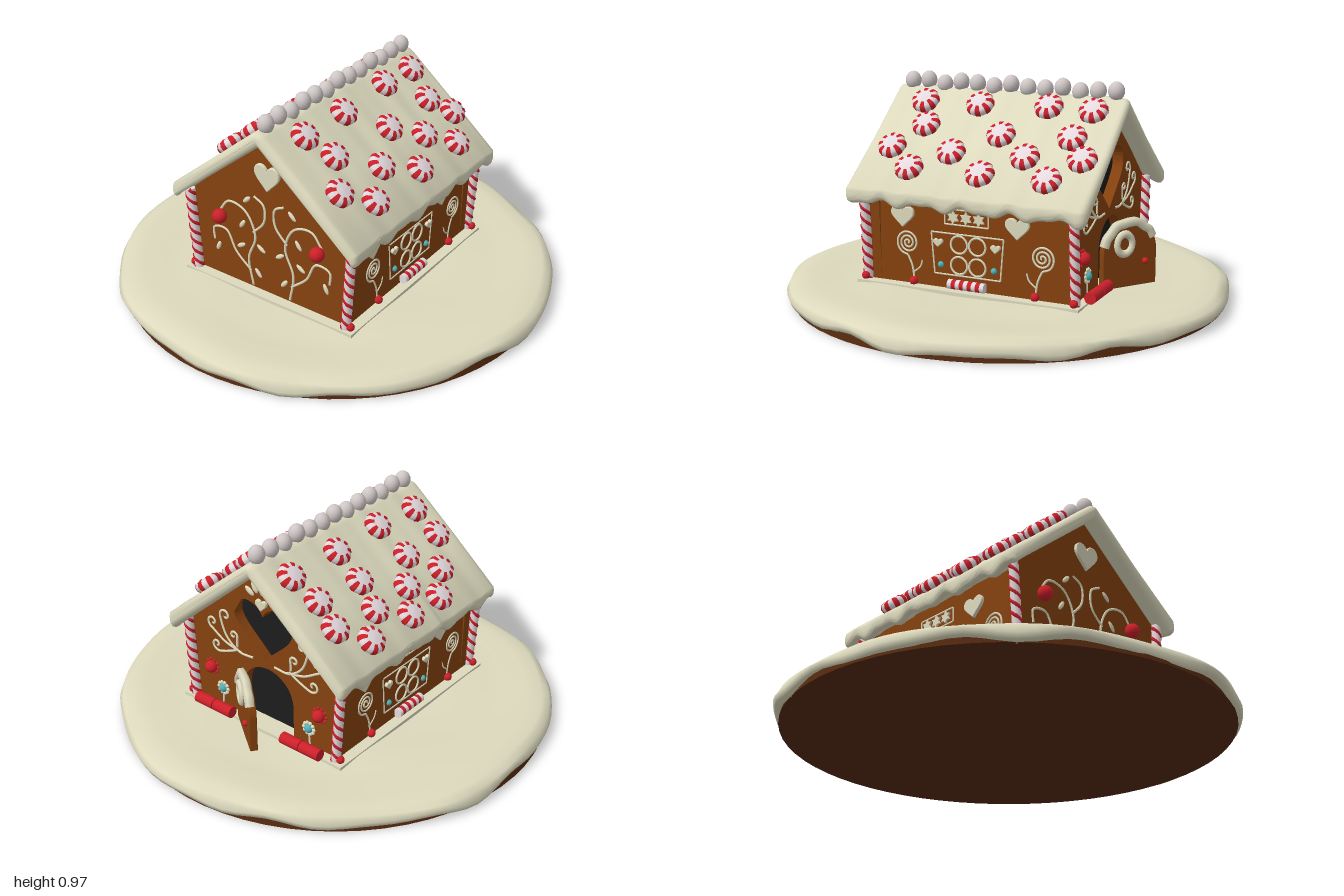
import * as THREE from 'three';
import { mergeGeometries, mergeVertices, toCreasedNormals } from 'three/addons/utils/BufferGeometryUtils.js';

const mat = (color) => new THREE.MeshStandardMaterial({ color, roughness: 0.8 });
const V = (x, y, z = 0) => new THREE.Vector3(x, y, z);
const { sin, cos, abs, PI } = Math;

export function createModel() {
  const root = new THREE.Group();
  const icing = mat(0xdcd9bd), ginger = mat(0x85410f), crust = mat(0x55290f), dark = mat(0x1c1c1c);
  const red = mat(0xcc2029), white = mat(0xe4dadd), pearl = mat(0xcfc7c6), blue = mat(0x4fb3ba);

  const add = (parent, name, geo, material, x = 0, y = 0, z = 0) => {
    const m = new THREE.Mesh(geo, material);
    m.name = name;
    m.position.set(x, y, z);
    parent.add(m);
    return m;
  };
  const group = (parent, name, x = 0, y = 0, z = 0) => {
    const g = new THREE.Group();
    g.name = name;
    g.position.set(x, y, z);
    parent.add(g);
    return g;
  };
  const weld = (geo) => {
    geo.deleteAttribute('uv');
    geo.deleteAttribute('normal');
    return mergeVertices(geo, 1e-4);
  };
  const bend = (geo, rule) => {
    const p = geo.attributes.position, v = V(0, 0);
    for (let i = 0; i < p.count; i++) {
      v.fromBufferAttribute(p, i);
      rule(v);
      p.setXYZ(i, v.x, v.y, v.z);
    }
    return geo;
  };
  const lathe = (pts, n, start, len) => new THREE.LatheGeometry(pts.map((p) => new THREE.Vector2(...p)), n, start, len);
  const extrude = (shape, depth, bevel = 0, steps = 1) => new THREE.ExtrudeGeometry(shape,
    { depth, steps, curveSegments: 14, bevelEnabled: bevel > 0, bevelSize: bevel, bevelThickness: bevel, bevelOffset: -bevel, bevelSegments: 3 });
  const pipe = (parent, name, pts, r = 0.006, material = icing, closed = false) => add(parent, name,
    new THREE.TubeGeometry(new THREE.CatmullRomCurve3(pts, closed), pts.length * 5, r, 6, closed), material);
  const ball = (parent, name, r, material, x, y, z = 0) => add(parent, name, new THREE.SphereGeometry(r, 14, 10), material, x, y, z);

  const heartPath = (Type, x, y, w, h) => {
    const s = new Type();
    s.moveTo(x, y - h / 2);
    s.bezierCurveTo(x + w * 0.25, y - h * 0.2, x + w * 0.5, y, x + w * 0.5, y + h * 0.2);
    s.bezierCurveTo(x + w * 0.5, y + h * 0.58, x + w * 0.1, y + h * 0.6, x, y + h * 0.3);
    s.bezierCurveTo(x - w * 0.1, y + h * 0.6, x - w * 0.5, y + h * 0.58, x - w * 0.5, y + h * 0.2);
    s.bezierCurveTo(x - w * 0.5, y, x - w * 0.25, y - h * 0.2, x, y - h / 2);
    return s;
  };
  const heart = (parent, x, y, w, h) => add(parent, 'icingHeart', extrude(heartPath(THREE.Shape, x, y, w, h), 0.01, 0.004), icing);
  const spiral = (x, y, r, turns, start = 0, dir = 1) => Array.from({ length: turns * 9 + 1 }, (_, i) => {
    const k = 1 - i / (turns * 9 + 1), a = start + dir * i * PI * 2 / 9;
    return V(x + r * k * cos(a), y + r * k * sin(a));
  });

  // Iced round board
  add(root, 'board', new THREE.CylinderGeometry(0.955, 0.965, 0.05, 64), crust, 0, 0.025, 0);
  const snow = lathe([[0.94, 0.03], [0.965, 0.015], [0.99, 0.02], [1, 0.045], [0.985, 0.072], [0.95, 0.088], [0.88, 0.094],
    [0.78, 0.088], [0.7, 0.087], [0.62, 0.092], [0.5, 0.089], [0, 0.09]], 96);
  add(root, 'boardIcing', (() => {
    const g = weld(bend(snow, (v) => {
      const a = Math.atan2(v.z, v.x), r = Math.hypot(v.x, v.z), k = 0.984 + 0.009 * sin(5 * a + 1) + 0.007 * sin(9 * a);
      v.x *= k; v.z *= k;
      if (r > 0.93 && v.y < 0.05) v.y += 0.01 * sin(11 * a) + 0.006 * sin(17 * a + 2);
      else if (r > 0.4) v.y += 0.004 * sin(4 * a + r * 9);
    }));
    g.computeVertexNormals();
    return g;
  })(), icing);
  add(root, 'houseFooting', new THREE.BoxGeometry(1.04, 0.016, 0.9), icing, 0, 0.093, 0);

  // Walls: each face group looks outward along its own +z
  const house = group(root, 'house');
  const face = (name, turn, out) => {
    const g = group(house, name, sin(turn) * out, 0, cos(turn) * out);
    g.rotation.y = turn;
    return g;
  };
  const front = face('frontWall', 0, 0.4), back = face('backWall', PI, 0.4);
  const doorEnd = face('doorGable', PI / 2, 0.475), vineEnd = face('vineGable', -PI / 2, 0.475);
  const gable = () => {
    const s = new THREE.Shape();
    s.moveTo(-0.4, 0.08);
    for (const [x, y] of [[0.4, 0.08], [0.41, 0.5], [0, 0.86], [-0.41, 0.5]]) s.lineTo(x, y);
    return s;
  };
  const pierced = gable(), doorway = new THREE.Path();
  doorway.moveTo(-0.12, 0.095);
  doorway.lineTo(0.16, 0.095);
  doorway.lineTo(0.16, 0.25);
  doorway.absellipse(0.02, 0.25, 0.14, 0.135, 0, PI, false);
  pierced.holes.push(heartPath(THREE.Path, 0, 0.55, 0.32, 0.26), doorway);
  add(doorEnd, 'gablePanel', extrude(pierced, 0.05), ginger, 0, 0, -0.05);
  add(doorEnd, 'darkInterior', new THREE.ShapeGeometry(gable()), dark, 0, 0, -0.049);
  add(vineEnd, 'gablePanel', extrude(gable(), 0.05), ginger, 0, 0, -0.05);

  // Long walls and their piped decoration
  for (const wall of [front, back]) {
    add(wall, 'wallPanel', new THREE.BoxGeometry(0.95, 0.42, 0.05), ginger, 0, 0.29, -0.025);
    for (const s of [-1, 1]) {
      heart(wall, s * 0.27 - 0.04, 0.392, 0.11, 0.09);
      const lx = s * 0.315 + 0.025;
      pipe(wall, 'lollipopSwirl', spiral(lx, 0.28, 0.055, 3, -PI / 2, s), 0.005);
      pipe(wall, 'lollipopStick', [V(lx, 0.225), V(lx - 0.02 * s, 0.18), V(lx - 0.03 * s, 0.12)], 0.005);
      pipe(wall, 'lollipopLeaf', [V(lx - 0.025 * s, 0.15), V(lx - 0.06 * s, 0.18), V(lx - 0.07 * s, 0.21)], 0.004);
      ball(wall, 'redBerry', 0.019, red, lx - 0.03 * s, 0.115, 0.008);
      ball(wall, 'blueDot', 0.014, blue, s * 0.125 - 0.005, 0.2);
      heart(wall, s * 0.135 - 0.005, 0.295, 0.045, 0.035);
      for (const t of [-1, 1]) {
        const pane = add(wall, 'windowPane', new THREE.TorusGeometry(0.038, 0.005, 6, 20), icing, s * 0.043, 0.25 + t * 0.045, 0.002);
        pane.scale.x = 1.02;
      }
    }
    const outline = (name, pts) => pts.forEach((p, i) => pipe(wall, name, [V(...p), V(...pts[(i + 1) % pts.length])], 0.004));
    outline('windowFrame', [[-0.175, 0.34], [0.165, 0.34], [0.15, 0.16], [-0.16, 0.16]]);
    outline('starFrame', [[-0.11, 0.445], [0.095, 0.445], [0.095, 0.38], [-0.11, 0.38]]);
    for (const x of [-0.068, -0.008, 0.052]) {
      const star = new THREE.Shape(Array.from({ length: 12 }, (_, i) => {
        const r = i % 2 ? 0.016 : 0.029;
        return new THREE.Vector2(x + r * sin(i * PI / 6), 0.412 + r * cos(i * PI / 6));
      }));
      add(wall, 'icingStar', extrude(star, 0.009), icing);
    }
    for (let i = 0; i < 9; i++) {
      const band = add(wall, 'windowCandy', new THREE.CylinderGeometry(0.021, 0.021, 0.019, 14), i % 2 ? red : white, -0.076 + i * 0.019, 0.125, 0.016);
      band.rotation.z = PI / 2;
    }
  }

  // Door gable decoration
  heart(doorEnd, 0, 0.685, 0.06, 0.05);
  for (let i = -2; i <= 2; i++) {
    const petal = ball(doorEnd, 'icingPetal', 0.034, icing, sin(i * 0.5) * 0.08, 0.69 + cos(i * 0.5) * 0.075);
    petal.scale.set(0.4, i ? 0.8 : 1.1, 0.25);
    petal.rotation.z = -i * 0.5;
  }
  for (const s of [-1, 1]) {
    const at = (pts) => pts.map(([x, y]) => V(s * x, y));
    const curl = (x, y, r, start, dir) => spiral(x, y, r, 1, start, dir).map((p) => V(s * p.x, p.y));
    pipe(doorEnd, 'icingScroll', [...at([[0.06, 0.41], [0.14, 0.41], [0.21, 0.46], [0.24, 0.53]]), ...curl(0.215, 0.56, 0.03, 0, 1)]);
    pipe(doorEnd, 'icingScroll', [...at([[0.13, 0.41], [0.22, 0.43], [0.29, 0.47]]), ...curl(0.29, 0.505, 0.03, -1, 1)]);
    pipe(doorEnd, 'icingScroll', [...at([[0.14, 0.42], [0.2, 0.39], [0.26, 0.37]]), ...curl(0.27, 0.4, 0.028, -1.5, 1)]);
    pipe(doorEnd, 'icingScroll', [...at([[0.15, 0.43], [0.15, 0.46]]), ...curl(0.17, 0.48, 0.022, 3, -1)]);
    ball(doorEnd, 'redGumdrop', 0.028, red, s * 0.305, 0.275, 0.01);
    for (let i = 0; i < 10; i++) {
      const a = i * PI / 5;
      ball(doorEnd, 'gumdropSugar', 0.007, red, s * 0.305 + 0.033 * cos(a), 0.275 + 0.033 * sin(a));
      ball(doorEnd, 'flowerPetal', 0.009, icing, s * 0.245 + 0.027 * cos(a), 0.185 + 0.027 * sin(a));
    }
    ball(doorEnd, 'blueFlower', 0.021, blue, s * 0.245, 0.185);
    pipe(doorEnd, 'flowerStem', at([[0.245, 0.16], [0.25, 0.1]]), 0.005);
    for (const x of [0.195, 0.3]) {
      const roll = add(doorEnd, 'redCandyRoll', new THREE.CylinderGeometry(0.026, 0.026, 0.1, 18), red, s * x, 0.123, 0.055);
      roll.rotation.z = PI / 2;
    }
  }

  // Open door, hinged on its left edge
  const door = group(doorEnd, 'door', -0.12, 0, 0.005);
  door.rotation.y = -0.63;
  const leaf = new THREE.Shape();
  leaf.moveTo(0, 0.095);
  leaf.lineTo(0.27, 0.095);
  leaf.lineTo(0.27, 0.25);
  leaf.absellipse(0.135, 0.25, 0.135, 0.125, 0, PI, false);
  add(door, 'doorLeaf', extrude(leaf, 0.026, 0.004), ginger);
  pipe(door, 'doorIcing', Array.from({ length: 10 }, (_, i) => {
    const a = PI * (0.14 + i * 0.088);
    return V(0.135 + 0.128 * cos(a), 0.25 + 0.126 * sin(a) + 0.004 * sin(i * 2.4), 0.02);
  }), 0.021);
  const wreath = add(door, 'doorWreath', new THREE.TorusGeometry(0.038, 0.015, 10, 22), icing, 0.105, 0.285, 0.03);
  wreath.scale.y = 1.15;
  ball(door, 'doorKnob', 0.014, red, 0.21, 0.2, 0.034);

  // Vine gable decoration
  heart(vineEnd, 0, 0.67, 0.13, 0.12);
  for (const s of [-1, 1]) {
    const at = (pts) => pts.map(([x, y]) => V(s * x, y));
    pipe(vineEnd, 'vineStem', at([[0.1, 0.11], [0.12, 0.24], [0.08, 0.36], [0.13, 0.47], [0.22, 0.49], [0.27, 0.43]]));
    pipe(vineEnd, 'vineBranch', at([[0.11, 0.18], [0.19, 0.25], [0.24, 0.34], [0.31, 0.33], [0.31, 0.27]]));
    pipe(vineEnd, 'vineTip', at([[0.09, 0.38], [0.03, 0.45], [0.03, 0.53], [0.08, 0.56]]));
    ball(vineEnd, 'redGumdrop', 0.033, red, s * 0.26, 0.41, 0.02);
    for (const [x, y, t] of [[0.16, 0.29, 1], [0.05, 0.31, -1], [0.15, 0.4, 0.6], [0.29, 0.24, 0.4], [0.07, 0.18, -0.7], [0.12, 0.53, 0.8]]) {
      const l = ball(vineEnd, 'vineLeaf', 0.026, icing, s * x, y);
      l.scale.set(0.4, 1, 0.3);
      l.rotation.z = s * t;
    }
  }

  // Striped canes at the four corners
  for (const sx of [-1, 1]) for (const sz of [-1, 1]) {
    const cane = group(house, 'cornerCane', sx * 0.488, 0.09, sz * 0.4);
    cane.rotation.x = sz * 0.07;
    add(cane, 'caneCore', new THREE.CylinderGeometry(0.021, 0.021, 0.4, 12), white, 0, 0.2, 0);
    for (const phase of [0, PI]) {
      const helix = Array.from({ length: 41 }, (_, i) => {
        const a = i * 0.62 + phase;
        return V(0.016 * cos(a), i * 0.01, 0.016 * sin(a));
      });
      add(cane, 'caneStripe', new THREE.TubeGeometry(new THREE.CatmullRomCurve3(helix), 90, 0.009, 6), red);
    }
    ball(house, 'caneFoot', 0.018, red, sx * 0.49, 0.115, sz * 0.425);
  }

  // Roof icing: folded slab with a dripping rim
  const roof = new THREE.Shape();
  roof.moveTo(-0.445, 0.47);
  roof.lineTo(0, 0.84);
  roof.lineTo(0.445, 0.47);
  roof.bezierCurveTo(0.465, 0.435, 0.5, 0.46, 0.484, 0.515);
  roof.lineTo(0.25, 0.707);
  roof.lineTo(0.035, 0.885);
  roof.quadraticCurveTo(0, 0.915, -0.035, 0.885);
  roof.lineTo(-0.25, 0.707);
  roof.lineTo(-0.484, 0.515);
  roof.bezierCurveTo(-0.5, 0.46, -0.465, 0.435, -0.445, 0.47);
  const slab = extrude(roof, 1.06, 0.025, 60);
  slab.rotateY(PI / 2).translate(-0.525, 0, 0);
  bend(slab, (v) => {
    const wave = sin(v.x * 31 + Math.sign(v.z)) + 0.6 * sin(v.x * 53 + 2);
    if (abs(v.z) > 0.43 && v.y < 0.5) v.y += 0.011 * wave;
    else v.y += 0.003 * wave;
    if (abs(v.x) > 0.5) v.x += 0.006 * sin(v.z * 34);
  });
  add(house, 'roofIcing', toCreasedNormals(weld(slab), 0.9), icing);

  // Pearls along the ridge
  for (let i = 0; i < 13; i++) {
    const bead = ball(house, 'ridgePearl', 0.036, pearl, -0.48 + i * 0.0815, 0.922 + 0.008 * sin(i * 2.3), 0);
    bead.scale.y = 1.15;
  }

  // Peppermints on both slopes
  const mintCore = lathe([[0, -0.03], [0.045, -0.028], [0.06, -0.012], [0.062, 0.004], [0.054, 0.018], [0.036, 0.025], [0, 0.027]], 24);
  const mintStripes = mergeGeometries(Array.from({ length: 8 }, (_, i) => lathe(
    [[0.047, -0.029], [0.062, -0.012], [0.064, 0.004], [0.056, 0.0195], [0.034, 0.0265]], 3, i * PI / 4, PI / 8)));
  const mints = [[-0.36, 0.105], [-0.09, 0.105], [0.23, 0.095], [0.435, 0.1], [-0.3, 0.21], [0.07, 0.23], [0.39, 0.22],
    [-0.41, 0.315], [-0.12, 0.32], [0.22, 0.315], [0.47, 0.305], [-0.28, 0.4], [0.055, 0.4], [0.355, 0.4],
    [-0.19, -0.42], [0.015, -0.42], [0.285, -0.42], [-0.305, -0.345], [-0.07, -0.335], [0.165, -0.345], [0.405, -0.33],
    [-0.425, -0.235], [-0.185, -0.245], [0.135, -0.24], [0.39, -0.23], [-0.41, -0.12], [-0.155, -0.11], [0.135, -0.12], [0.425, -0.12]];
  for (const [x, z] of mints) {
    const mint = group(house, 'peppermint', x, 0.936 - 0.82 * abs(z), z);
    mint.rotation.x = Math.sign(z) * 0.687;
    add(mint, 'mintCore', mintCore, white);
    add(mint, 'mintStripes', mintStripes, red);
  }
  return root;
}
